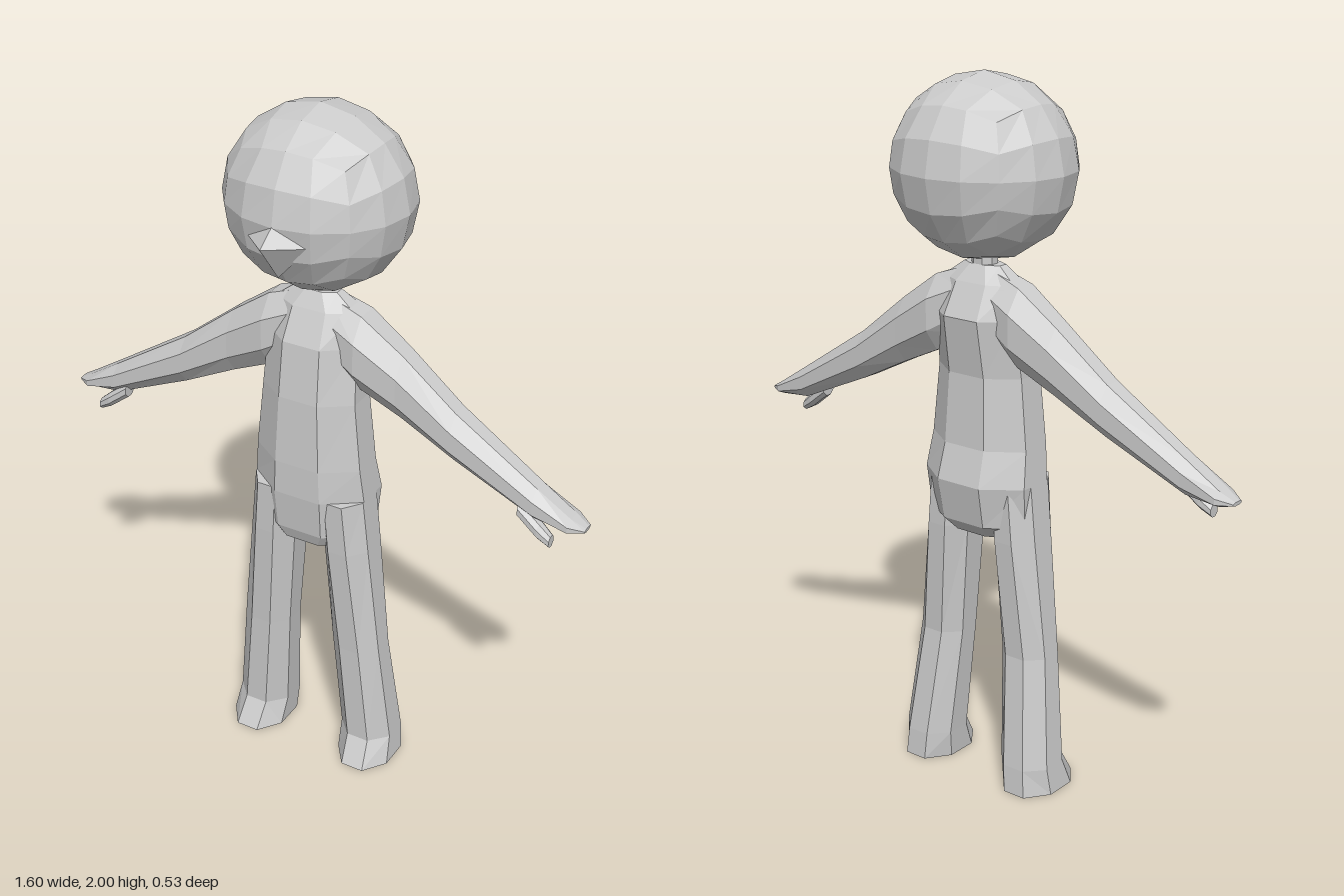
import * as THREE from 'three';

const material = new THREE.MeshStandardMaterial({ color: 0xcccccc, flatShading: true });
const SIDES = 8;
const FIT = 1 / Math.cos(Math.PI / SIDES); // makes the octagon's flats reach the given extents

// Octagonal ring; place(c, s) turns unit coordinates into a point
function ring(place) {
  return Array.from({ length: SIDES }, (_, i) => {
    const a = ((i + 0.5) / SIDES) * Math.PI * 2;
    return place(Math.cos(a) * FIT, Math.sin(a) * FIT);
  });
}

// Horizontal ring at height y, from x0 to x1 and from back to front
const level = ([y, x0, x1, back, front]) =>
  ring((c, s) => [(x0 + x1) / 2 + ((x1 - x0) / 2) * c, y, (front + back) / 2 - ((front - back) / 2) * s]);

// Upright ring across a limb at x, from y0 to y1 and from back to front
const slice = ([x, y0, y1, back, front]) =>
  ring((c, s) => [x, (y0 + y1) / 2 + ((y1 - y0) / 2) * c, (front + back) / 2 + ((front - back) / 2) * s]);

// Skin over a row of rings with closed ends; side -1 mirrors it in x
function loft(name, rings, side = 1) {
  const pos = [];
  const tri = (a, b, c) => {
    for (const p of side > 0 ? [a, b, c] : [a, c, b]) pos.push(p[0] * side, p[1], p[2]);
  };
  const middle = (r) => [0, 1, 2].map((k) => r.reduce((sum, p) => sum + p[k], 0) / SIDES);
  const first = rings[0], last = rings[rings.length - 1];
  for (let i = 0; i < SIDES; i++) {
    const j = (i + 1) % SIDES;
    for (let k = 0; k + 1 < rings.length; k++) {
      const lo = rings[k], hi = rings[k + 1];
      tri(lo[i], lo[j], hi[j]);
      tri(lo[i], hi[j], hi[i]);
    }
    tri(middle(first), first[j], first[i]);
    tri(middle(last), last[i], last[j]);
  }
  const geometry = new THREE.BufferGeometry();
  geometry.setAttribute('position', new THREE.Float32BufferAttribute(pos, 3));
  geometry.computeVertexNormals();
  const mesh = new THREE.Mesh(geometry, material);
  mesh.name = name;
  return mesh;
}

// Head: a gridded box pushed out to a ball
function makeHead() {
  const geometry = new THREE.BoxGeometry(2, 2, 2, 4, 4, 4);
  const p = geometry.attributes.position;
  const v = new THREE.Vector3();
  for (let i = 0; i < p.count; i++) {
    v.fromBufferAttribute(p, i);
    v.set(Math.tan(v.x * Math.PI / 4), Math.tan(v.y * Math.PI / 4), Math.tan(v.z * Math.PI / 4)).normalize();
    p.setXYZ(i, v.x * 0.258, v.y * 0.248, v.z * 0.24);
  }
  geometry.computeVertexNormals();
  const head = new THREE.Mesh(geometry, material);
  head.name = 'head';
  head.position.set(0, 1.752, -0.03);
  return head;
}

// Nose: a four-sided point, drooping below its bridge
function makeNose() {
  const geometry = new THREE.ConeGeometry(1, 1, 4);
  geometry.rotateX(Math.PI / 2);
  const p = geometry.attributes.position;
  for (let i = 0; i < p.count; i++) {
    const z = p.getZ(i);
    const tip = z > 0.4;
    const y = p.getY(i);
    p.setXYZ(i, p.getX(i) * 0.09, tip ? 1.715 : 1.705 + y * (y > 0 ? 0.07 : 0.1), tip ? 0.265 : 0.18);
  }
  geometry.computeVertexNormals();
  const nose = new THREE.Mesh(geometry, material);
  nose.name = 'nose';
  return nose;
}

export function createModel() {
  const model = new THREE.Group();
  model.add(makeHead(), makeNose());

  // Neck: height, x range, z range
  model.add(loft('neck', [
    [1.46, -0.035, 0.035, -0.06, 0],
    [1.56, -0.035, 0.035, -0.06, 0],
  ].map(level)));

  // Torso: height, half width, back, front
  model.add(loft('torso', [
    [0.74, 0.12, -0.09, 0.07],
    [0.78, 0.165, -0.125, 0.085],
    [0.9, 0.172, -0.148, 0.098],
    [1.0, 0.162, -0.12, 0.098],
    [1.2, 0.142, -0.11, 0.09],
    [1.36, 0.135, -0.135, 0.072],
    [1.45, 0.12, -0.09, 0.03],
    [1.495, 0.06, -0.06, 0.005],
  ].map(([y, w, back, front]) => level([y, -w, w, back, front]))));

  for (const side of [1, -1]) {
    const label = side > 0 ? 'left' : 'right';

    // Leg flares forward into the foot
    model.add(loft(label + 'Leg', [
      [0, 0.1, 0.265, -0.13, 0.095],
      [0.08, 0.095, 0.257, -0.125, 0.05],
      [0.4, 0.073, 0.223, -0.085, 0.06],
      [0.74, 0.048, 0.188, -0.1, 0.08],
      [0.9, 0.04, 0.172, -0.1, 0.085],
    ].map(level), side));

    // Arm runs from the shoulder to the flat fingertips
    model.add(loft(label + 'Arm', [
      [0.04, 1.3, 1.485, -0.09, 0.03],
      [0.14, 1.235, 1.45, -0.11, 0.045],
      [0.26, 1.18, 1.365, -0.1, 0.032],
      [0.42, 1.1, 1.24, -0.09, 0.03],
      [0.66, 0.995, 1.088, -0.075, 0.025],
      [0.76, 0.985, 1.025, -0.07, 0.02],
      [0.8, 0.993, 1.003, -0.045, -0.005],
    ].map(slice), side));

    model.add(loft(label + 'Thumb', [
      [0.62, 0.995, 1.04, -0.02, 0.022],
      [0.68, 0.95, 0.995, -0.018, 0.028],
      [0.715, 0.932, 0.965, -0.01, 0.024],
    ].map(slice), side));
  }
  return model;
}
